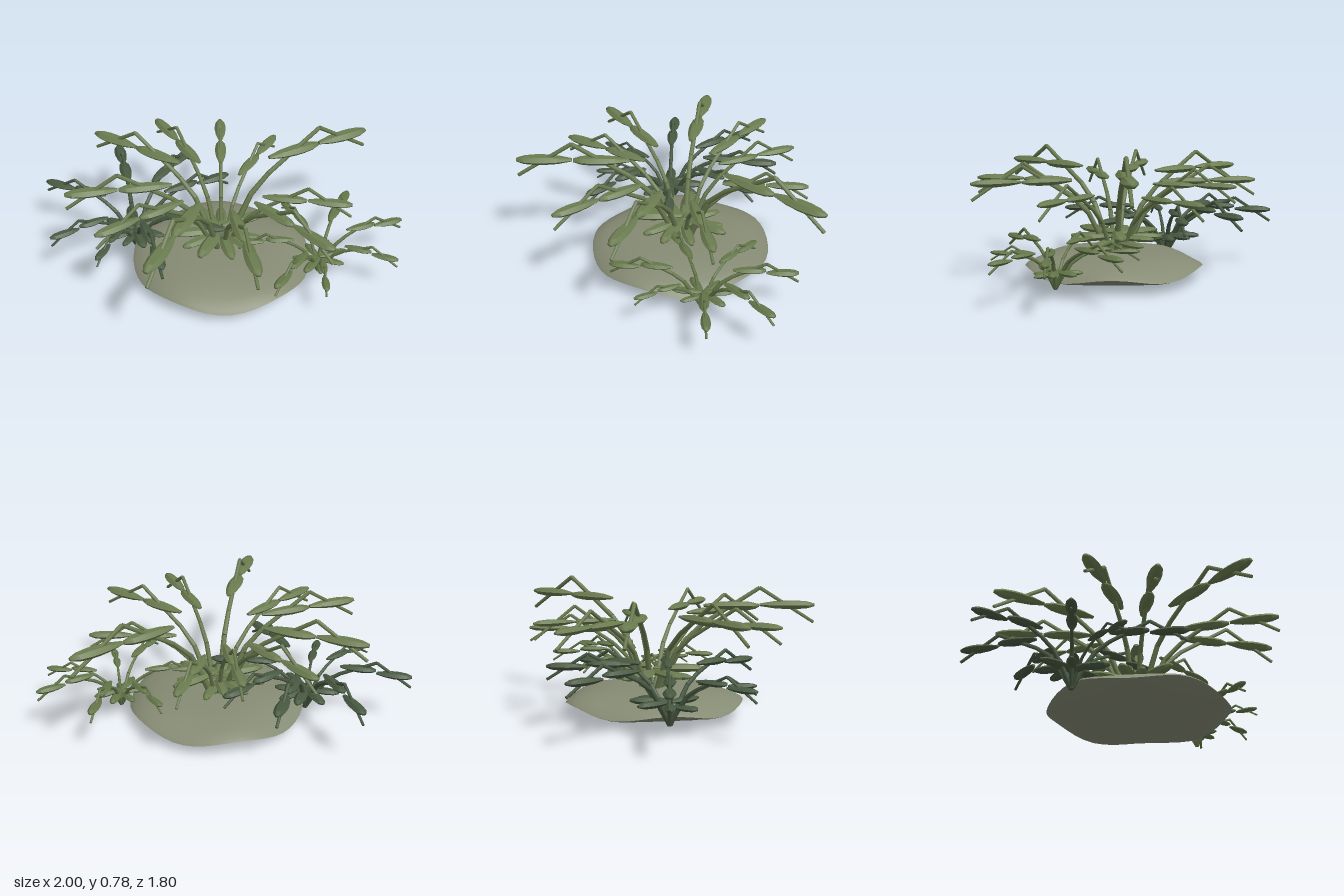
import * as THREE from 'three';
import { toCreasedNormals } from 'three/addons/utils/BufferGeometryUtils.js';

const material = (name, color) => {
  const m = new THREE.MeshStandardMaterial({ color });
  m.name = name;
  return m;
};
const soilGreen = material('moundGreyGreen', 0x868b74);
const leafGreen = material('leafGreen', 0x6b7c50);
const darkGreen = material('darkLeafGreen', 0x485941);
const midGreen = material('midLeafGreen', 0x647649);

const profile = (pairs) => pairs.map(([x, y]) => new THREE.Vector2(x, y));

// Unit leaf: a flattened six-sided pod lying along x, widest past its middle
function leafGeometry() {
  const g = new THREE.LatheGeometry(profile([
    [0, -0.5], [0.32, -0.5], [0.8, -0.25], [1, 0], [1, 0.16], [0.82, 0.36], [0.36, 0.5], [0, 0.5],
  ]), 6);
  g.rotateZ(-Math.PI / 2);
  g.scale(1, 0.6, 1);
  return toCreasedNormals(g, 0.6);
}
const leafShape = leafGeometry();

// Straight tapered piece of stem between two points
function stemPiece(a, b, ra, rb, mat) {
  const dir = b.clone().sub(a);
  const mesh = new THREE.Mesh(new THREE.CylinderGeometry(rb, ra, dir.length(), 6), mat);
  mesh.name = 'stem';
  mesh.position.copy(a).add(b).multiplyScalar(0.5);
  mesh.quaternion.setFromUnitVectors(new THREE.Vector3(0, 1, 0), dir.normalize());
  return mesh;
}

// Arching stem in the local xy plane, as fractions of reach and height
const ARCH = [[0, 0], [0.1, 0.3], [0.2, 0.56], [0.32, 0.71], [0.665, 1]];

function frond(reach, height, { tipHeight, girth, mat }) {
  const group = new THREE.Group();
  group.name = 'frond';
  const pts = [...ARCH, [1, tipHeight]].map(([x, y]) => new THREE.Vector3(x * reach, y * height, 0));
  const radius = (i) => reach * girth * (0.021 - 0.002 * i);
  for (let i = 0; i + 1 < pts.length; i++) {
    group.add(stemPiece(pts[i], pts[i + 1], radius(i), radius(i + 1), mat));
  }
  // Leaves as centre, height, length and width fractions
  const leaves = [
    [0.165, 0.34, 0.32, 0.044],
    [0.49, 0.855, 0.34, 0.046],
    [0.835, (1 + tipHeight) / 2, 0.335, 0.047],
  ];
  for (const [x, y, length, width] of leaves) {
    const leaf = new THREE.Mesh(leafShape, mat);
    leaf.name = 'leaf';
    leaf.position.set(x * reach, y * height, 0);
    leaf.scale.set(length * reach, width * girth * reach, width * girth * reach);
    group.add(leaf);
  }
  return group;
}

// Plant: fronds fan out from a base towards tips given as [x, z, optional height]
function plant(name, base, tips, style) {
  const group = new THREE.Group();
  group.name = name;
  group.position.set(...base);
  for (const [x, z, height] of tips) {
    const dx = x - base[0], dz = z - base[2];
    const reach = Math.hypot(dx, dz);
    const f = frond(reach, height ?? style.rise * reach, style);
    f.rotation.y = -Math.atan2(dz, dx);
    group.add(f);
  }
  return group;
}

// Low lens-shaped mound with a gently waving rim
function mound() {
  const g = new THREE.LatheGeometry(profile([
    [0, 0.005], [0.15, 0.008], [0.3, 0.024], [0.42, 0.045], [0.5, 0.068], [0.528, 0.082],
    [0.51, 0.1], [0.45, 0.127], [0.36, 0.15], [0.25, 0.162], [0.12, 0.165], [0, 0.165],
  ]), 48);
  const p = g.attributes.position;
  for (let i = 0; i < p.count; i++) {
    const x = p.getX(i), z = p.getZ(i);
    const rim = Math.pow(Math.hypot(x, z) / 0.528, 5);
    p.setY(i, p.getY(i) + 0.018 * rim * Math.cos(5 * Math.atan2(z, x)));
  }
  const mesh = new THREE.Mesh(toCreasedNormals(g, 0.8), soilGreen);
  mesh.name = 'mound';
  mesh.position.set(-0.035, 0, 0.07);
  return mesh;
}

export function createModel() {
  const model = new THREE.Group();
  model.name = 'plantCluster';
  model.add(mound());
  model.add(plant('largePlant', [-0.03, 0.03, 0.055], [
    [0.94, -0.04], [0.52, -0.42], [0.23, -0.62, 0.64], [-0.14, -0.77], [-0.56, -0.68],
    [-0.9, -0.12], [-0.83, 0.25], [-0.7, 0.73, 0.725], [-0.16, 0.89], [0.28, 0.86], [0.61, 0.45],
  ], { rise: 0.77, tipHeight: 0.72, girth: 1, mat: leafGreen }));
  model.add(plant('darkPlant', [-0.47, 0.06, -0.25], [
    [-0.37, -0.9], [0.05, -0.68], [0.17, -0.34], [-0.05, 0.15],
    [-0.51, 0.39], [-0.8, 0.08], [-1, -0.17], [-0.89, -0.7],
  ], { rise: 0.57, tipHeight: 0.62, girth: 1.18, mat: darkGreen }));
  model.add(plant('smallPlant', [0.46, 0.05, 0.38], [
    [0.99, 0.39], [0.8, 0.69], [0.32, 0.75], [0.04, 0.68],
    [0.02, 0.2], [0.43, -0.08], [0.83, 0.01],
  ], { rise: 0.55, tipHeight: 0.6, girth: 1.22, mat: midGreen }));
  return model;
}
